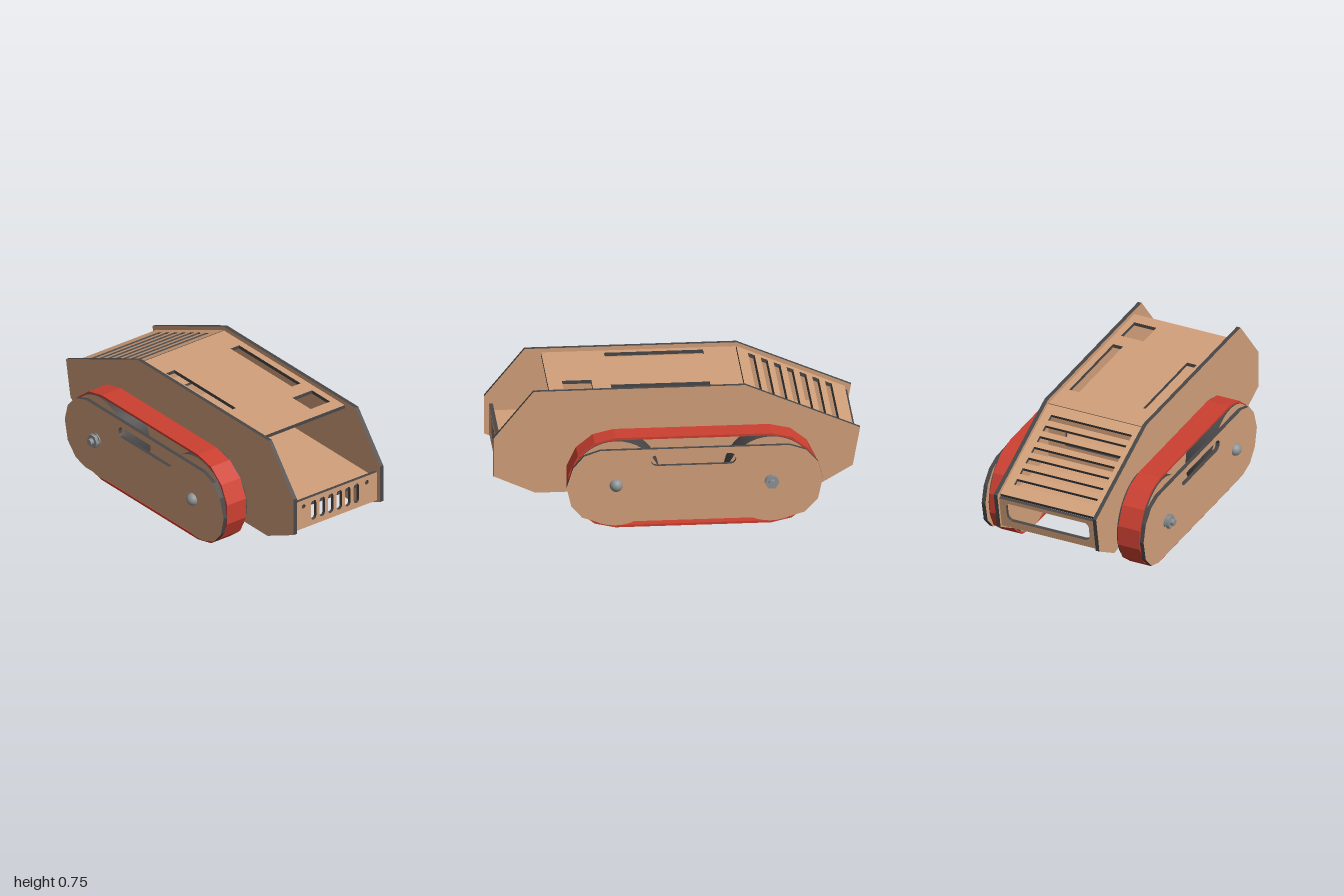
import * as THREE from 'three';

const mat = (name, color) => Object.assign(new THREE.MeshStandardMaterial({ color }), { name });

// closed outline from a few points
function outline(points, Type = THREE.Shape) {
  return new Type(points.map(([x, y]) => new THREE.Vector2(x, y)));
}
const rect = (x0, y0, x1, y1, Type) => outline([[x0, y0], [x1, y0], [x1, y1], [x0, y1]], Type);

// slot with round ends: two arc centres a and b, radius r, n facets per end
function slot(ax, ay, bx, by, r, n = 6, Type = THREE.Path) {
  const dir = Math.atan2(by - ay, bx - ax), pts = [];
  for (const [x, y, start] of [[bx, by, dir - Math.PI / 2], [ax, ay, dir + Math.PI / 2]]) {
    for (let i = 0; i <= n; i++) {
      const a = start + (Math.PI * i) / n;
      pts.push([x + r * Math.cos(a), y + r * Math.sin(a)]);
    }
  }
  return outline(pts, Type);
}

export function createModel() {
  const model = new THREE.Group();
  model.name = 'trackedVehicle';
  const wood = mat('plywood', 0xd2a07a);
  const edge = mat('burntEdge', 0x484646);
  const red = mat('redBelt', 0xcc4031);
  const steel = mat('steel', 0x8e9294);
  const T = 0.02;

  const add = (name, geometry, material, parent = model) => {
    const mesh = new THREE.Mesh(geometry, material);
    mesh.name = name;
    parent.add(mesh);
    return mesh;
  };
  const extrude = (shape, depth) => new THREE.ExtrudeGeometry(shape, { depth, bevelEnabled: false, curveSegments: 6 });

  // upright plate: outline in (z, y), filling x0..x1
  const sidePlate = (name, shape, x0, x1, material, parent) => {
    const g = extrude(shape, x1 - x0).rotateY(-Math.PI / 2).translate(x1, 0, 0);
    return add(name, g, material, parent);
  };
  // cross plate: outline in (x, s), tilted about x and set at (y, z)
  const crossPlate = (name, shape, y, z, tilt) =>
    add(name, extrude(shape, T).rotateX(tilt).translate(0, y, z), [wood, edge]);

  // body sides
  const bodySide = outline([[1, 0.485], [0.78, 0.755], [-0.375, 0.755], [-1, 0.485],
    [-0.96, 0.265], [-0.78, 0.16], [0.77, 0.16], [1, 0.265]]);
  sidePlate('leftBodySide', bodySide, 0.288, 0.31, [wood, edge]);
  sidePlate('rightBodySide', bodySide, -0.31, -0.288, [wood, edge]);

  // roof with two long slots and a square hatch (s = -z)
  const W = 0.288;
  const roof = rect(-W, -0.69, W, 0.37);
  roof.holes.push(rect(-0.255, -0.35, -0.197, 0.19, THREE.Path));
  roof.holes.push(rect(0.19, -0.35, 0.25, 0.19, THREE.Path));
  roof.holes.push(rect(0.115, -0.61, 0.25, -0.45, THREE.Path));
  crossPlate('roof', roof, 0.712, 0, -Math.PI / 2);

  // inner floor
  crossPlate('floor', rect(-W, -0.955, W, 0.78), 0.38, 0, -Math.PI / 2);

  // bulkhead with a vent
  const bulkhead = rect(-W, 0.4, W, 0.712);
  bulkhead.holes.push(rect(-0.19, 0.49, 0.185, 0.572, THREE.Path));
  crossPlate('bulkhead', bulkhead, 0, -0.37, 0);

  // front grille
  const grille = rect(-W, 0.265, W, 0.44);
  for (let i = 0; i < 6; i++) {
    const x = -0.15 + i * 0.059;
    grille.holes.push(slot(x, 0.314, x, 0.398, 0.018));
  }
  for (const x of [-0.22, 0.218]) {
    grille.holes.push(new THREE.Path().absarc(x, 0.4, 0.013, 0, Math.PI * 2));
  }
  crossPlate('frontGrille', grille, 0, 0.953, 0);

  // sloping louvre panel at the rear
  const dy = -0.255, dz = -0.59, len = Math.hypot(dy, dz);
  const louvre = rect(-W, 0, W, len);
  for (let i = 0; i < 7; i++) {
    const s = 0.065 + i * 0.0763;
    louvre.holes.push(rect(-0.25, s, 0.24, s + 0.04, THREE.Path));
  }
  crossPlate('rearLouvre', louvre, 0.732 + (T * dz) / len, -0.375 - (T * dy) / len, Math.atan2(dz, dy));

  // rear frame, leaning back, with a large rounded opening
  const rear = rect(-W, 0, W, 0.19);
  rear.holes.push(outline([[-0.225, 0.045], [0.225, 0.045], [0.245, 0.06], [0.25, 0.08], [0.25, 0.145],
    [0.235, 0.165], [-0.235, 0.165], [-0.25, 0.145], [-0.25, 0.08], [-0.245, 0.06]], THREE.Path));
  crossPlate('rearFrame', rear, 0.268, -0.945, Math.atan2(-0.035, 0.2));

  // track units
  const AXLE_Y = 0.265, FRONT = 0.345, BACK = -0.502;
  const guard = outline([[0.44, 0.05], [0.53, 0.08], [0.59, 0.15], [0.615, 0.26], [0.58, 0.37], [0.52, 0.44],
    [0.43, 0.47], [-0.6, 0.47], [-0.69, 0.44], [-0.755, 0.37], [-0.782, 0.27], [-0.755, 0.15],
    [-0.685, 0.075], [-0.6, 0.05]]);
  guard.holes.push(slot(-0.278, 0.403, 0.123, 0.403, 0.032));
  const belt = slot(BACK, AXLE_Y, FRONT, AXLE_Y, 0.263, 7, THREE.Shape);
  belt.holes.push(slot(BACK, AXLE_Y, FRONT, AXLE_Y, 0.25, 7));

  for (const side of [1, -1]) {
    const track = new THREE.Group();
    track.name = side > 0 ? 'leftTrack' : 'rightTrack';
    model.add(track);
    const span = (a, b) => (side > 0 ? [a, b] : [-b, -a]);

    sidePlate('belt', belt, ...span(0.325, 0.455), red, track);
    sidePlate('outerGuard', guard, ...span(0.467, 0.49), [wood, edge], track);

    // round part along x between a and b
    const round = (name, r, a, b, z, material, sides = 20) => {
      const g = new THREE.CylinderGeometry(r, r, b - a, sides).rotateZ(Math.PI / 2);
      add(name, g, material, track).position.set((side * (a + b)) / 2, AXLE_Y, z);
    };
    for (const z of [FRONT, BACK]) {
      round('wheel', 0.248, 0.313, 0.463, z, [edge, wood, wood], 40);
      round('axle', 0.018, 0.28, z === BACK ? 0.543 : 0.5, z, steel);
    }
    // rear washer and nut
    round('washer', 0.036, 0.49, 0.497, BACK, steel);
    round('nut', 0.04, 0.502, 0.522, BACK, steel, 6);
    // domed front bolt head
    const dome = new THREE.SphereGeometry(0.036, 20, 8, 0, Math.PI * 2, 0, Math.PI / 2);
    dome.rotateZ((-side * Math.PI) / 2);
    add('boltHead', dome, steel, track).position.set(side * 0.49, AXLE_Y, FRONT);
  }
  return model;
}
